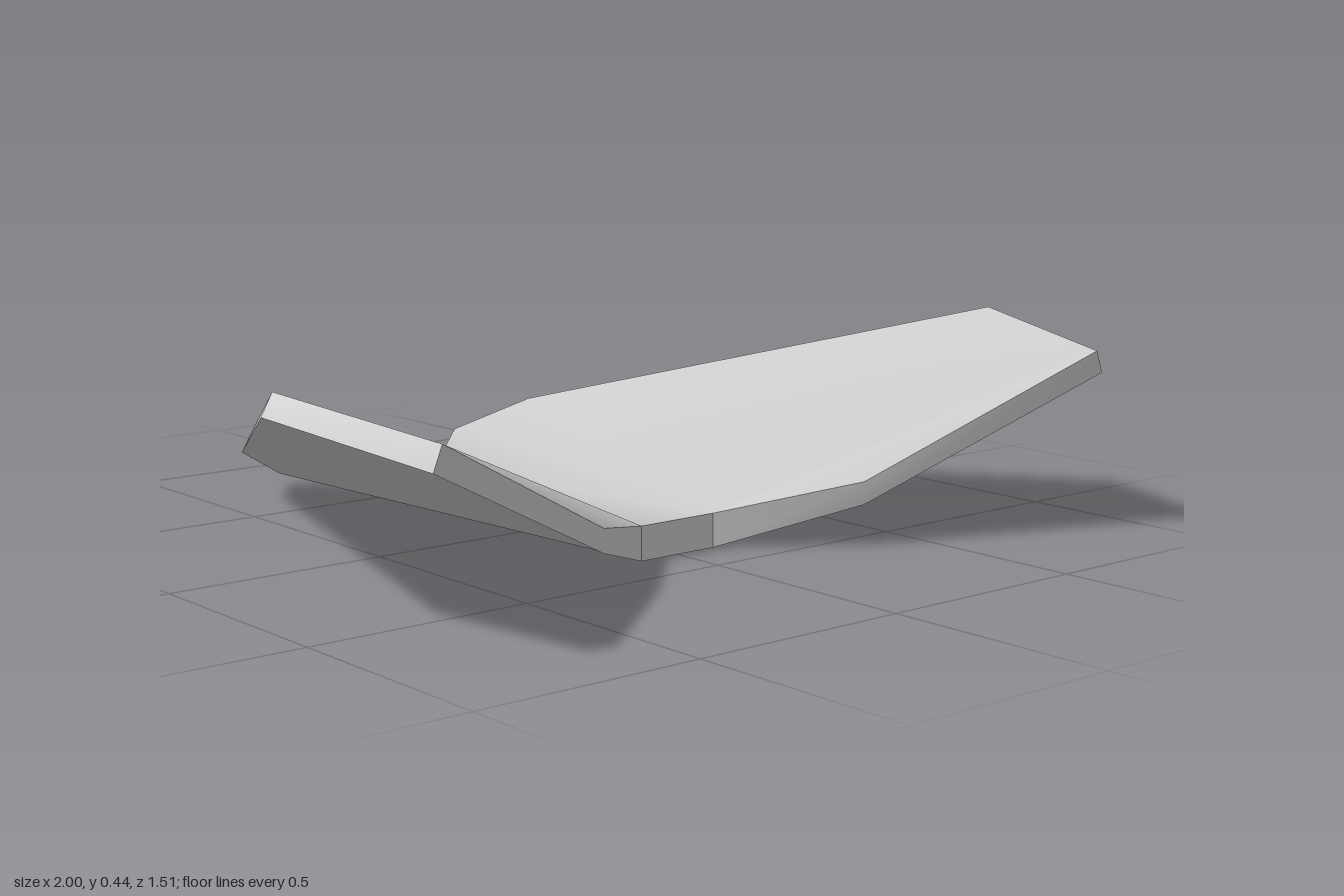
import * as THREE from 'three';
import { toCreasedNormals } from 'three/addons/utils/BufferGeometryUtils.js';

// Half outlines (x, y, z), from the front centre round the wing tip to the rear notch
const upper = [
  [0.10, 0.075, 0.375], [0.36, 0.14, 0.565], [0.88, 0.395, 0.755], [0.975, 0.445, 0.36],
  [0.41, 0.155, -0.66], [0.25, 0.08, -0.76], [0.10, 0.075, -0.595],
];
const lower = [
  [0.10, 0, 0.375], [0.36, 0.09, 0.565], [0.90, 0.345, 0.755], [1.00, 0.40, 0.36],
  [0.43, 0.115, -0.665], [0.27, 0.03, -0.76], [0.10, 0, -0.595],
];

// Closed outline: one half followed by its mirror image
function mirrorLoop(half) {
  const mirrored = half.map(([x, y, z]) => [-x, y, z]).reverse();
  return [...half, ...mirrored];
}

function plateGeometry() {
  const top = mirrorLoop(upper);
  const bottom = mirrorLoop(lower);
  const n = top.length;
  const last = n - 1;

  // Skin triangles: a fan over each wing plus the flat centre panel
  const skin = [[0, 6, 7], [0, 7, last]];
  for (let i = 1; i < 6; i++) {
    skin.push([0, i, i + 1], [last, last - i - 1, last - i]);
  }

  const index = [];
  for (const [a, b, c] of skin) {
    index.push(a, b, c); // upper skin
    index.push(n + a, n + c, n + b); // lower skin
  }
  // Rim joining the two skins
  for (let i = 0; i < n; i++) {
    const j = (i + 1) % n;
    index.push(n + i, n + j, j, n + i, j, i);
  }

  const geometry = new THREE.BufferGeometry();
  geometry.setAttribute('position', new THREE.Float32BufferAttribute([...top, ...bottom].flat(), 3));
  geometry.setIndex(index);
  return toCreasedNormals(geometry, Math.PI / 5);
}

export function createModel() {
  const group = new THREE.Group();
  group.name = 'wingPlate';
  const plate = new THREE.Mesh(plateGeometry(), new THREE.MeshStandardMaterial({ color: 0xcccccc }));
  plate.name = 'sweptPlate';
  group.add(plate);
  return group;
}
